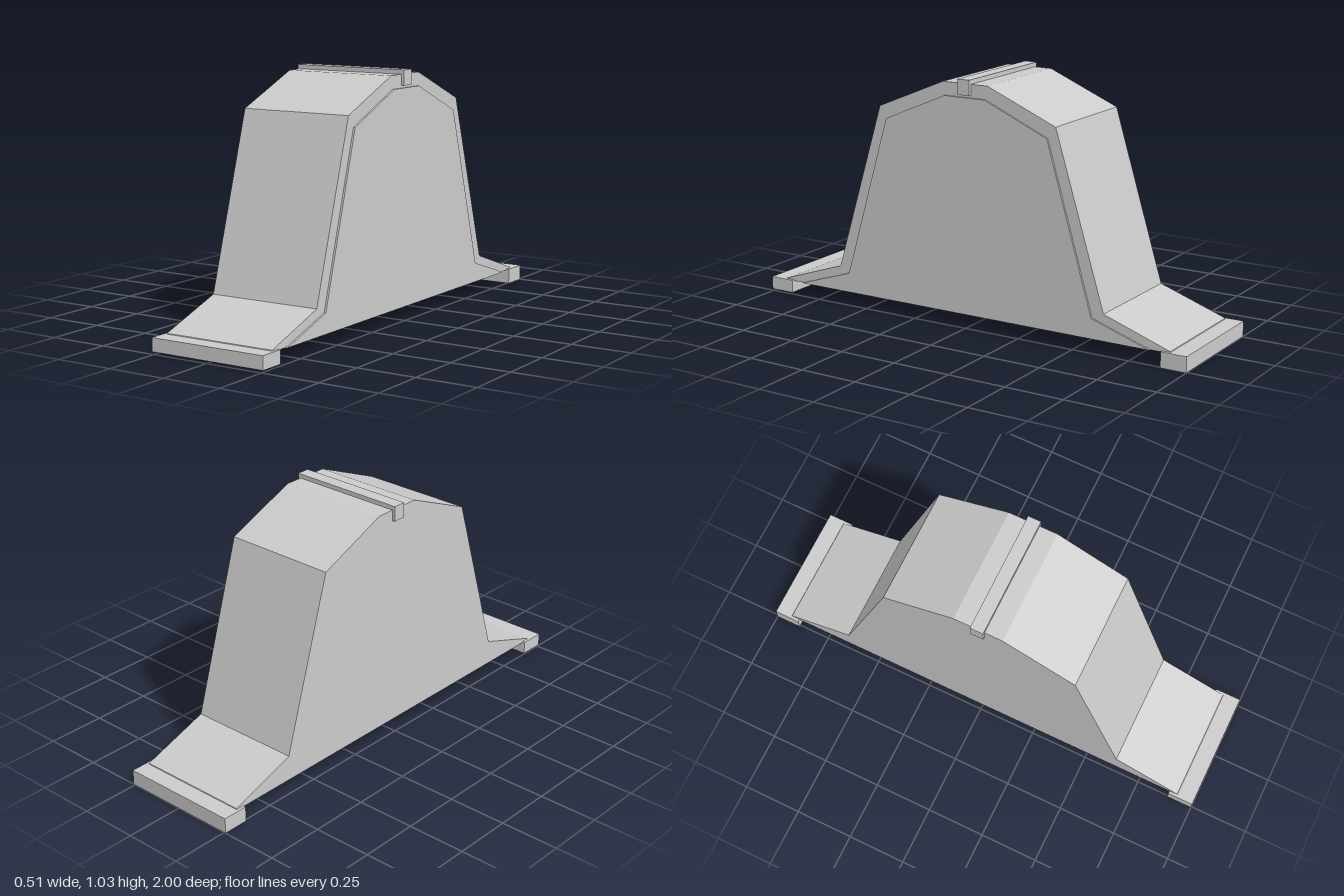
import * as THREE from 'three';

const material = new THREE.MeshStandardMaterial({ color: 0xcccccc, flatShading: true });

function add(group, name, geometry) {
  const mesh = new THREE.Mesh(geometry, material);
  mesh.name = name;
  group.add(mesh);
  return mesh;
}

// Mirrors half a (z, y) profile and extrudes it between x0 and x1.
function slab(half, x0, x1) {
  const mirrored = half.map(([z, y]) => [-z, y]).reverse();
  const points = [...half, ...mirrored].map(([z, y]) => new THREE.Vector2(z, y));
  const geometry = new THREE.ExtrudeGeometry(new THREE.Shape(points), {
    depth: x1 - x0, bevelEnabled: false,
  });
  geometry.rotateY(-Math.PI / 2);
  geometry.translate(x1, 0, 0);
  return geometry;
}

function bar(width, y0, y1, z0, z1) {
  const geometry = new THREE.BoxGeometry(width, y1 - y0, z1 - z0);
  geometry.translate(0, (y0 + y1) / 2, (z0 + z1) / 2);
  return geometry;
}

export function createModel() {
  const group = new THREE.Group();
  group.name = 'humpBlock';

  // Stepped hump with low flared ends
  add(group, 'body', slab(
    [[0.93, 0.06], [0.925, 0.068], [0.635, 0.167], [0.415, 0.88], [0.105, 1.01]], -0.245, 0.245));

  // Thin raised panel on the left side only
  add(group, 'sidePanel', slab(
    [[0.84, 0.06], [0.585, 0.143], [0.38, 0.832], [0.095, 0.955]], 0.24, 0.253));

  // Cross bar over the crown
  add(group, 'crownBar', bar(0.515, 0.965, 1.028, -0.028, 0.028));

  // Foot bars at both ends
  add(group, 'frontFoot', bar(0.515, 0.01, 0.065, 0.89, 1));
  add(group, 'backFoot', bar(0.515, 0, 0.065, -1, -0.89));

  return group;
}
